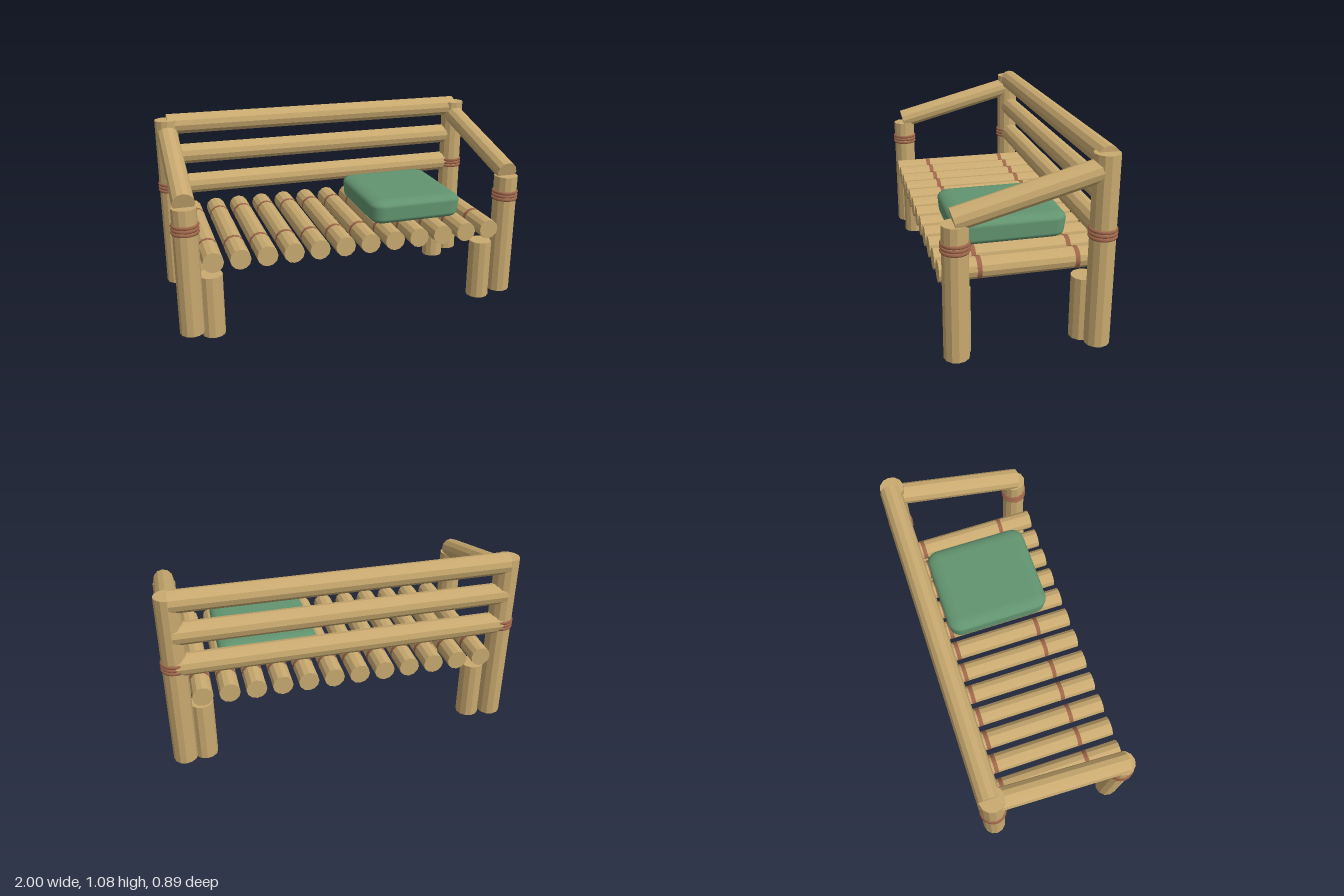
import * as THREE from 'three';
import { RoundedBoxGeometry } from 'three/addons/geometries/RoundedBoxGeometry.js';

const mat = (name, color, flatShading) => {
  const m = new THREE.MeshStandardMaterial({ color, flatShading });
  m.name = name;
  return m;
};

export function createModel() {
  const bamboo = mat('bamboo', 0xc9aa70, true);
  const rope = mat('rope', 0xa0674b, false);
  const fabric = mat('cushionGreen', 0x629470, false);
  const model = new THREE.Group();
  model.name = 'bambooBench';

  const add = (name, geometry, material, parent = model) => {
    const mesh = new THREE.Mesh(geometry, material);
    mesh.name = name;
    parent.add(mesh);
    return mesh;
  };

  // A pole between two points
  const pole = (name, from, to, radius, parent) => {
    const a = new THREE.Vector3(...from), b = new THREE.Vector3(...to);
    const dir = b.clone().sub(a);
    const mesh = add(name, new THREE.CylinderGeometry(radius, radius, dir.length(), 12), bamboo, parent);
    mesh.position.copy(a).add(b).multiplyScalar(0.5);
    mesh.quaternion.setFromUnitVectors(new THREE.Vector3(0, 1, 0), dir.normalize());
    return mesh;
  };

  // Three stacked rope rings around a post
  const lashing = (x, z) => {
    const group = new THREE.Group();
    group.name = 'postLashing';
    for (let i = 0; i < 3; i++) {
      const ring = add('ropeRing', new THREE.TorusGeometry(0.066, 0.0095, 6, 20), rope, group);
      ring.rotation.x = Math.PI / 2;
      ring.position.set(x, 0.624 + i * 0.0195, z);
    }
    model.add(group);
  };

  // Posts, short inner legs, lashings and sloping arms on both sides
  for (const s of [-1, 1]) {
    const x = s * 0.925;
    pole('frontPost', [x, 0.042, 0.37], [x, 0.757, 0.37], 0.067);
    pole('backPost', [x, 0.024, -0.368], [x, 1.05, -0.368], 0.067);
    pole('frontLeg', [s * 0.806, 0, 0.338], [s * 0.806, 0.354, 0.338], 0.066);
    pole('backLeg', [s * 0.806, 0, -0.325], [s * 0.806, 0.354, -0.325], 0.066);
    pole('armRail', [x, 0.777, 0.38], [x, 0.972, -0.365], 0.06);
    lashing(x, 0.37);
    lashing(x, -0.368);
  }

  // Back rails
  for (const y of [0.645, 0.833, 1.019]) {
    pole('backRail', [-0.922, y, -0.38], [0.922, y, -0.38], 0.061);
  }

  // Seat slats with two bindings each
  for (let i = 0; i < 12; i++) {
    const x = -0.8 + i * (1.6 / 11);
    pole('seatSlat', [x, 0.458, 0.437], [x, 0.458, -0.437], 0.057);
    for (const z of [0.233, -0.275]) {
      const band = add('slatBinding', new THREE.CylinderGeometry(0.0585, 0.0585, 0.024, 12), rope);
      band.rotation.x = Math.PI / 2;
      band.position.set(x, 0.458, z);
    }
  }

  // Cushion: soft box, narrowed a little towards its underside
  const soft = new RoundedBoxGeometry(0.555, 0.29, 0.615, 3, 0.075);
  soft.scale(1, 0.5, 1);
  const p = soft.attributes.position;
  for (let i = 0; i < p.count; i++) {
    const k = p.getY(i) < 0 ? 0.98 : 1;
    p.setX(i, p.getX(i) * k);
    p.setZ(i, p.getZ(i) * k);
  }
  add('cushion', soft, fabric).position.set(0.402, 0.576, 0.022);

  return model;
}
